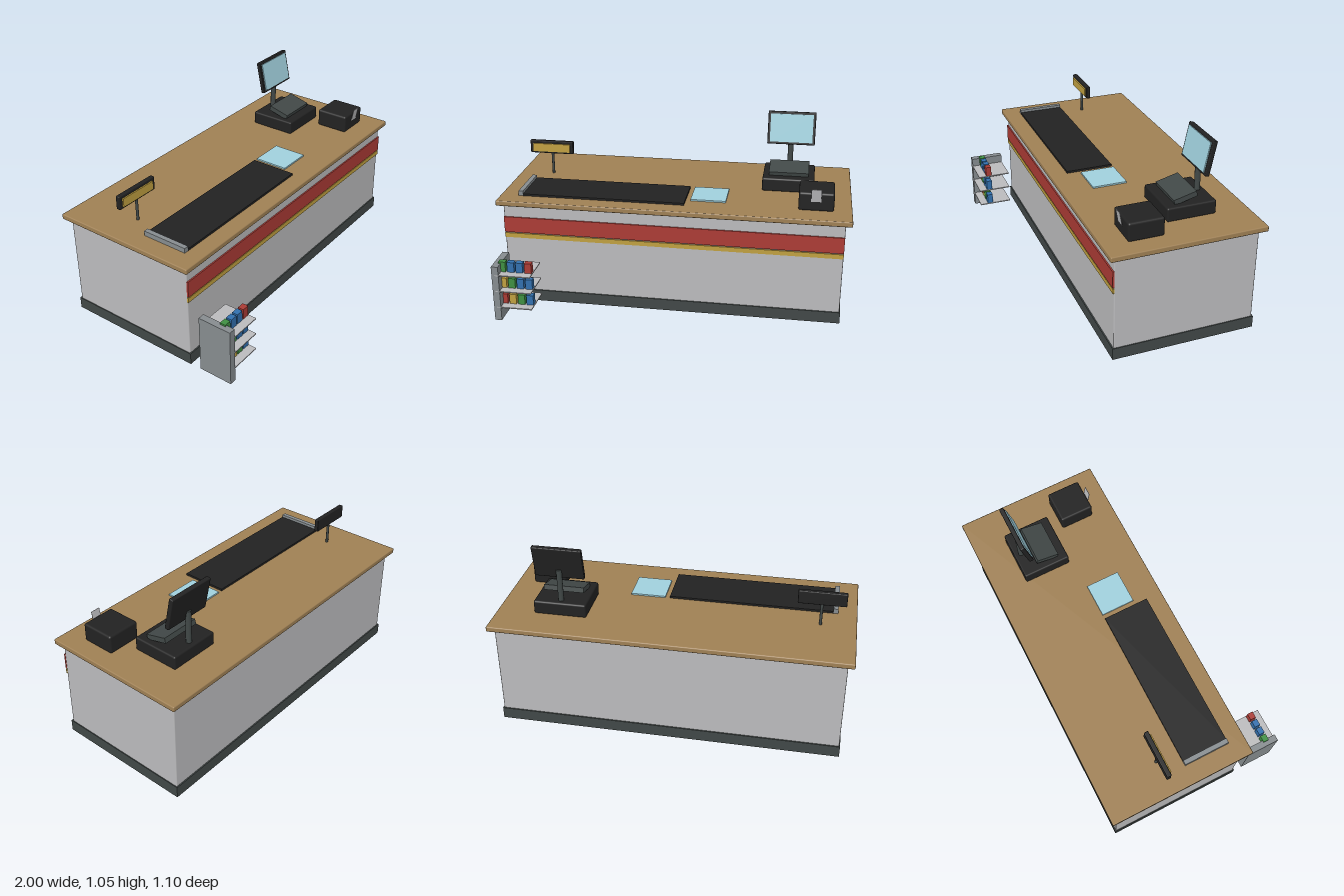
import * as THREE from 'three';
import { RoundedBoxGeometry } from 'three/addons/geometries/RoundedBoxGeometry.js';

const mat = (name, color, side = THREE.FrontSide) => {
  const m = new THREE.MeshStandardMaterial({ color, side });
  m.name = name;
  return m;
};

export function createModel() {
  const wood = mat('wood', 0x9f8054);
  const panel = mat('light grey panel', 0xbbbbbd);
  const steel = mat('steel grey', 0x868c8f);
  const slate = mat('dark slate', 0x414847);
  const black = mat('black plastic', 0x222222);
  const red = mat('red', 0xab3b35);
  const yellow = mat('yellow', 0xc0a040);
  const glass = mat('pale blue glass', 0xa0d0dd);
  const green = mat('green', 0x3f8f42);
  const blue = mat('blue', 0x3270ae);

  const model = new THREE.Group();
  model.name = 'checkoutCounter';

  const group = (name, parent = model) => {
    const g = new THREE.Group();
    g.name = name;
    parent.add(g);
    return g;
  };
  const add = (parent, name, geometry, material, x = 0, y = 0, z = 0) => {
    const m = new THREE.Mesh(geometry, material);
    m.name = name;
    m.position.set(x, y, z);
    parent.add(m);
    return m;
  };
  // Box given by its extents; r > 0 rounds the edges
  const box = (parent, name, material, [x0, x1], [y0, y1], [z0, z1], r = 0) => {
    const s = [x1 - x0, y1 - y0, z1 - z0];
    const geo = r ? new RoundedBoxGeometry(...s, 2, r) : new THREE.BoxGeometry(...s);
    return add(parent, name, geo, material, (x0 + x1) / 2, (y0 + y1) / 2, (z0 + z1) / 2);
  };

  // Counter carcass, plinth, worktop and front stripes
  const counter = group('counter');
  box(counter, 'cabinet', panel, [-0.965, 0.965], [0.03, 0.607], [-0.514, 0.283], 0.006);
  box(counter, 'plinth', slate, [-0.97, 0.97], [0, 0.068], [-0.521, 0.29]);
  box(counter, 'worktop', wood, [-1, 1], [0.604, 0.635], [-0.548, 0.315], 0.006);
  box(counter, 'redStripe', red, [-0.965, 0.965], [0.435, 0.529], [0.281, 0.291]);
  box(counter, 'yellowStripe', yellow, [-0.965, 0.965], [0.402, 0.429], [0.281, 0.29]);

  // Conveyor belt, end roller cover and scanner window
  const conveyor = group('conveyor');
  box(conveyor, 'belt', black, [-0.868, 0.068], [0.63, 0.647], [-0.053, 0.217]);
  box(conveyor, 'endCover', steel, [-0.893, -0.866], [0.63, 0.663], [-0.053, 0.217]);
  box(conveyor, 'scannerGlass', glass, [0.095, 0.296], [0.63, 0.644], [-0.055, 0.144]);

  // Cash register: drawer, sloped keyboard, pole and tilted monitor
  const register = group('cashRegister');
  box(register, 'drawer', black, [0.484, 0.784], [0.634, 0.713], [-0.357, -0.078], 0.01);
  add(register, 'keyboard', new THREE.BoxGeometry(0.23, 0.03, 0.132), slate, 0.634, 0.737, -0.196)
    .rotation.x = 0.25;
  add(register, 'monitorPole', new THREE.CylinderGeometry(0.016, 0.016, 0.21, 12), slate, 0.634, 0.80, -0.316);
  const monitor = group('monitor', register);
  monitor.position.set(0.634, 0.949, -0.316);
  monitor.rotation.x = -0.2;
  add(monitor, 'monitorCase', new RoundedBoxGeometry(0.28, 0.194, 0.026, 2, 0.005), black);
  add(monitor, 'screen', new THREE.BoxGeometry(0.25, 0.166, 0.007), glass, 0, 0, 0.0155);

  // Receipt printer with paper leaning out of the front
  const printer = group('receiptPrinter');
  box(printer, 'printerCase', black, [0.702, 0.898], [0.634, 0.74], [-0.014, 0.184], 0.012);
  add(printer, 'receipt', new THREE.BoxGeometry(0.056, 0.078, 0.002), panel, 0.798, 0.729, 0.194)
    .rotation.x = 0.18;

  // Customer display on a thin pole
  const display = group('customerDisplay');
  add(display, 'displayPole', new THREE.CylinderGeometry(0.008, 0.008, 0.15, 12), slate, -0.8, 0.705, -0.183);
  box(display, 'displayCase', black, [-0.934, -0.668], [0.763, 0.841], [-0.196, -0.17], 0.005);
  box(display, 'displayFace', yellow, [-0.914, -0.688], [0.775, 0.825], [-0.171, -0.162]);

  // Impulse rack: side panel, three shelves and rows of small packets
  const rack = group('impulseRack');
  box(rack, 'rackSide', steel, [-0.966, -0.927], [0, 0.335], [0.352, 0.55]);
  const rows = [
    [red, yellow, green, blue],
    [yellow, green, blue, blue],
    [green, blue, blue, red],
  ];
  rows.forEach((colours, i) => {
    const y = 0.085 + i * 0.1;
    box(rack, 'shelf', panel, [-0.95, -0.746], [y - 0.006, y], [0.352, 0.55]);
    colours.forEach((colour, j) => {
      const x = -0.92 + j * 0.05;
      box(rack, 'packet', colour, [x - 0.02, x + 0.02], [y, y + 0.06], [0.468, 0.502]);
    });
  });

  return model;
}
